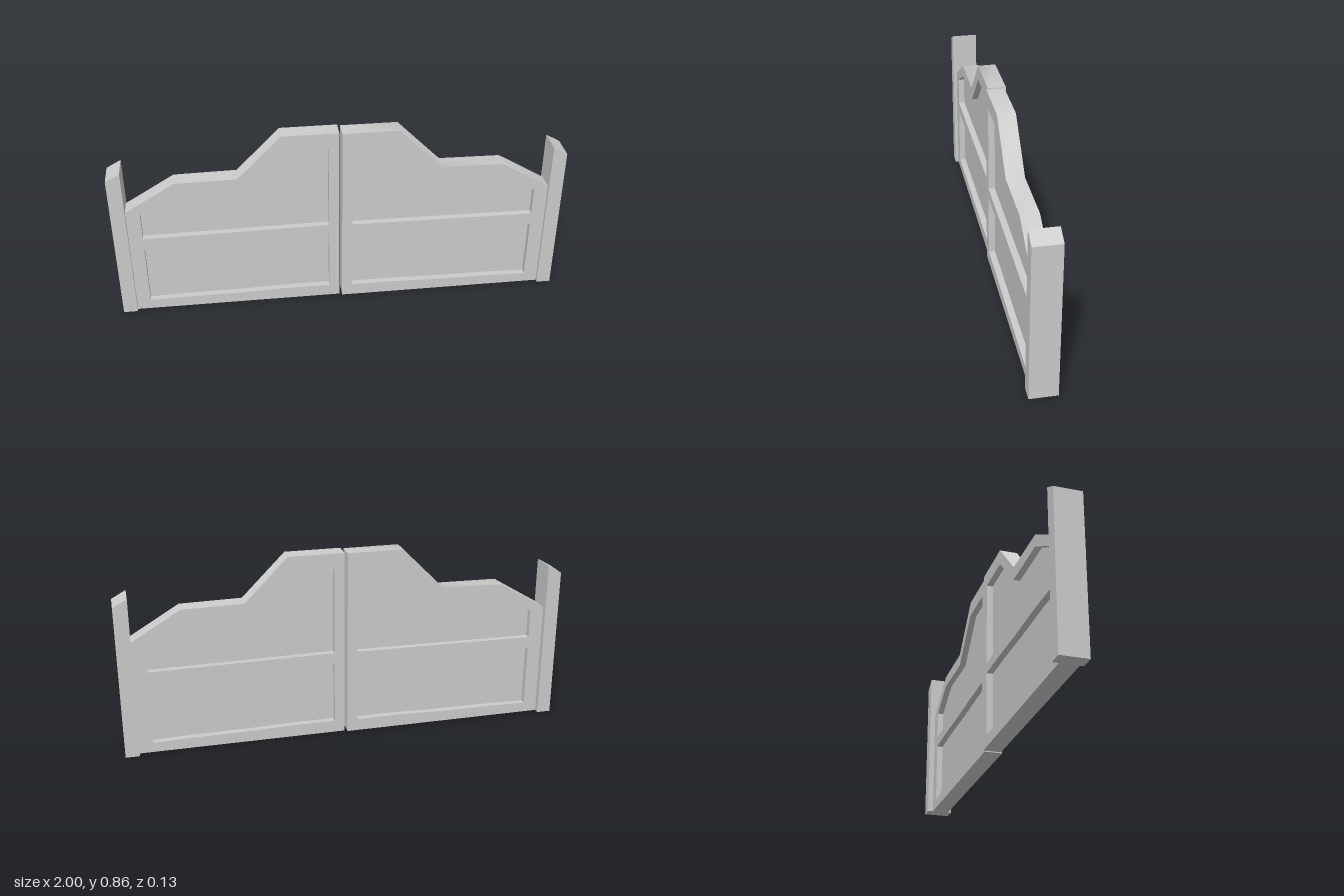
import * as THREE from 'three';
import { toCreasedNormals } from 'three/addons/utils/BufferGeometryUtils.js';

const material = new THREE.MeshStandardMaterial({ color: 0xcccccc });

// Profiles of one leaf, from the middle gap (x near 0) out to the post.
const outline = [[0.006, 0], [0.006, 0.855], [0.255, 0.855], [0.447, 0.661], [0.72, 0.657], [0.937, 0.527], [0.937, 0]];
const upperPanel = [[0.052, 0.392], [0.052, 0.785], [0.255, 0.785], [0.443, 0.603], [0.718, 0.603], [0.875, 0.514], [0.875, 0.384]];
const lowerPanel = [[0.052, 0.056], [0.052, 0.345], [0.256, 0.344], [0.443, 0.338], [0.718, 0.337],
  [0.875, 0.33], [0.875, 0.045], [0.718, 0.049], [0.443, 0.051], [0.256, 0.056]];
const postProfile = [[0.937, 0], [0.937, 0.732], [1, 0.697], [1, 0]];

const LEAF_DEPTH = 0.079, PANEL_DEPTH = 0.022, POST_DEPTH = 0.12;

// Extrude a profile, mirrored by side, centred on z.
function slab(name, profile, side, depth, z, holes = []) {
  // Keep every loop counter-clockwise, so that walls and hole walls face outwards.
  const points = (list) => {
    const loop = list.map(([x, y]) => new THREE.Vector2(x * side, y));
    return side > 0 ? loop.reverse() : loop;
  };
  const shape = new THREE.Shape(points(profile));
  shape.holes = holes.map((hole) => new THREE.Path(points(hole)));
  const geometry = new THREE.ExtrudeGeometry(shape, { depth, bevelEnabled: false });
  geometry.translate(0, 0, z - depth / 2);
  // Soft shading along the bends of the rim, sharp at the corners.
  const mesh = new THREE.Mesh(toCreasedNormals(geometry, 0.9), material);
  mesh.name = name;
  return mesh;
}

export function createModel() {
  const model = new THREE.Group();
  model.name = 'swingDoors';
  for (const side of [-1, 1]) {
    const half = new THREE.Group();
    half.name = side > 0 ? 'leftDoor' : 'rightDoor';
    // The two halves sit slightly out of line with each other.
    half.position.z = side * 0.0045;
    half.add(
      slab('doorFrame', outline, side, LEAF_DEPTH, 0.0045, [upperPanel, lowerPanel]),
      slab('upperPanel', upperPanel, side, PANEL_DEPTH, 0.0045),
      slab('lowerPanel', lowerPanel, side, PANEL_DEPTH, 0.0045),
      slab('post', postProfile, side, POST_DEPTH, 0),
    );
    model.add(half);
  }
  return model;
}
